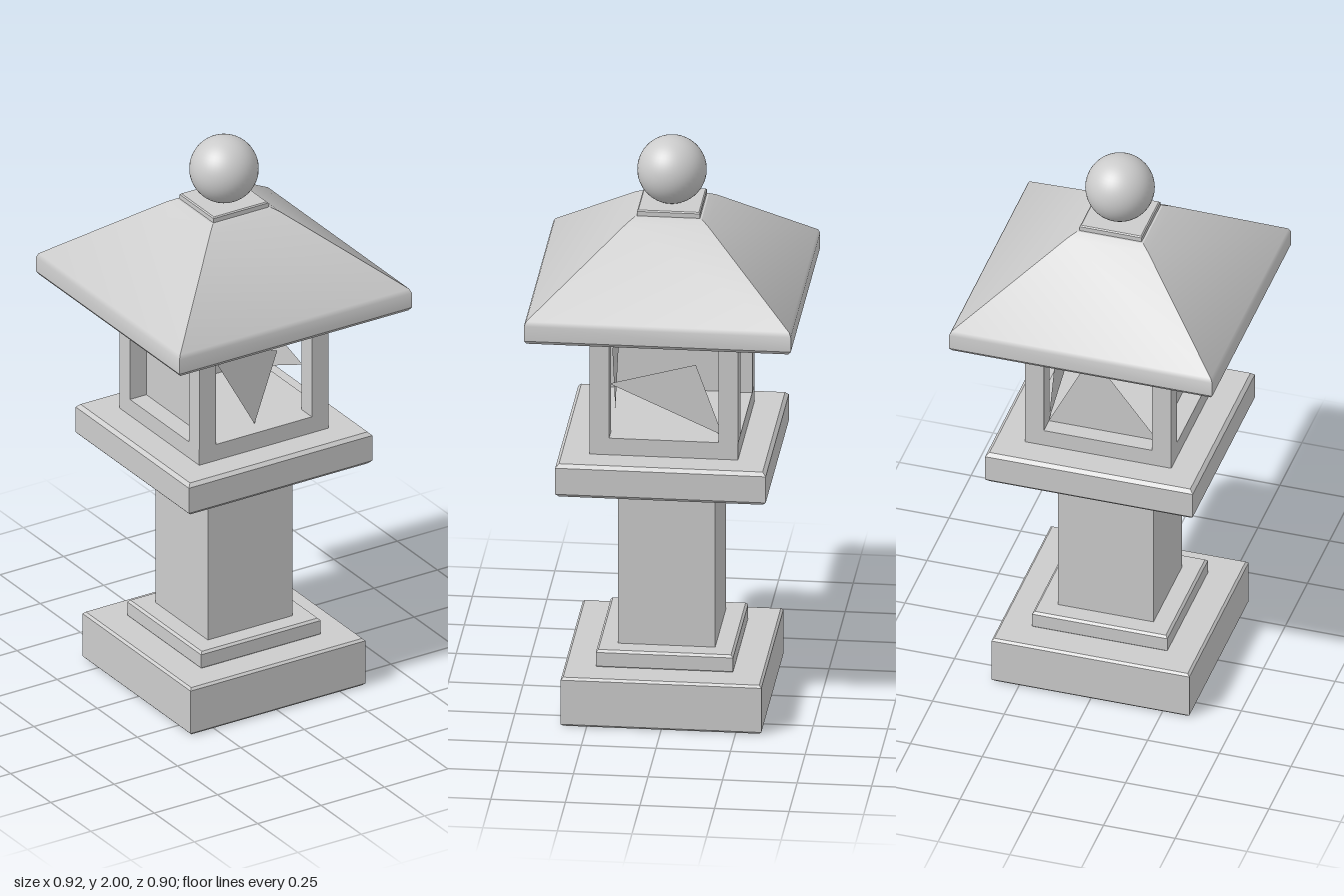
import * as THREE from 'three';
import { toCreasedNormals } from 'three/addons/utils/BufferGeometryUtils.js';

const DEPTH = 0.975; // the lantern is slightly shallower than wide

export function createModel() {
  const lantern = new THREE.Group();
  lantern.name = 'stoneLantern';
  const stone = new THREE.MeshStandardMaterial({ color: 0xcccccc });
  const thin = new THREE.MeshStandardMaterial({ color: 0xcccccc, side: THREE.DoubleSide });

  function add(name, geometry, material = stone, parent = lantern) {
    const mesh = new THREE.Mesh(geometry, material);
    mesh.name = name;
    parent.add(mesh);
    return mesh;
  }

  // Square solid from a profile of [half width, height], bottom to top
  function squareTurned(name, profile) {
    const points = profile.map(([w, y]) => new THREE.Vector2(w * Math.SQRT2, y));
    const geometry = new THREE.LatheGeometry(points, 4);
    geometry.rotateY(Math.PI / 4);
    geometry.scale(1, 1, DEPTH);
    return add(name, toCreasedNormals(geometry, 0.5));
  }

  // Square slab with softened edges
  function slab(name, w, y0, y1, b = 0.008) {
    return squareTurned(name, [
      [0, y0], [w - b, y0], [w, y0 + b], [w, y1 - b], [w - b, y1], [0, y1],
    ]);
  }

  // Pedestal
  slab('base', 0.345, 0, 0.175);
  slab('lowerCollar', 0.236, 0.17, 0.235);
  squareTurned('column', [[0.167, 0.23], [0.167, 0.78]]);
  squareTurned('upperCollar', [
    [0, 0.77], [0.2, 0.77], [0.23, 0.785], [0.23, 0.835], [0, 0.835],
  ]);
  slab('platform', 0.362, 0.832, 0.95, 0.012);

  // Light chamber: sill, lintel and four corner posts
  squareTurned('sill', [[0.255, 0.945], [0.255, 1.01], [0, 1.01]]);
  squareTurned('lintel', [[0, 1.35], [0.255, 1.35], [0.255, 1.43]]);
  const posts = new THREE.Group();
  posts.name = 'cornerPosts';
  lantern.add(posts);
  for (const sx of [-1, 1]) {
    for (const sz of [-1, 1]) {
      const post = add('cornerPost', new THREE.BoxGeometry(0.066, 0.342, 0.066), stone, posts);
      post.position.set(sx * 0.222, 1.18, sz * 0.222 * DEPTH);
    }
  }

  // Angular panes partly filling the four windows
  function pane(name, place, ...corners) {
    const shape = new THREE.BufferGeometry();
    shape.setAttribute('position',
      new THREE.Float32BufferAttribute(corners.flatMap(([u, y]) => place(u, y)), 3));
    shape.computeVertexNormals();
    add(name, shape, thin);
  }
  const d = 0.19;
  pane('frontPane', (u, y) => [u, y, d], [-0.19, 1.35], [0, 1.01], [0.09, 1.26]);
  pane('backPane', (u, y) => [u, y, -d], [-0.19, 1.01], [0.04, 1.31], [0.19, 1.01]);
  pane('rightPane', (u, y) => [d, y, u], [0.19, 1.18], [-0.19, 1.01], [-0.1, 1.26]);
  pane('leftPane', (u, y) => [-d, y, u],
    [-0.19, 1.01], [0.19, 1.01], [0.19, 1.35],
    [-0.19, 1.01], [0.19, 1.35], [-0.19, 1.35]);

  // Hipped roof with an upright eave
  squareTurned('roof', [
    [0, 1.42], [0.45, 1.42], [0.459, 1.432], [0.459, 1.485], [0.452, 1.5],
    [0.14, 1.74], [0.115, 1.755], [0, 1.755],
  ]);
  slab('roofCap', 0.108, 1.75, 1.775, 0.004);

  // Round finial
  const finial = add('finial', new THREE.SphereGeometry(0.116, 40, 28));
  finial.position.y = 1.884;

  return lantern;
}
